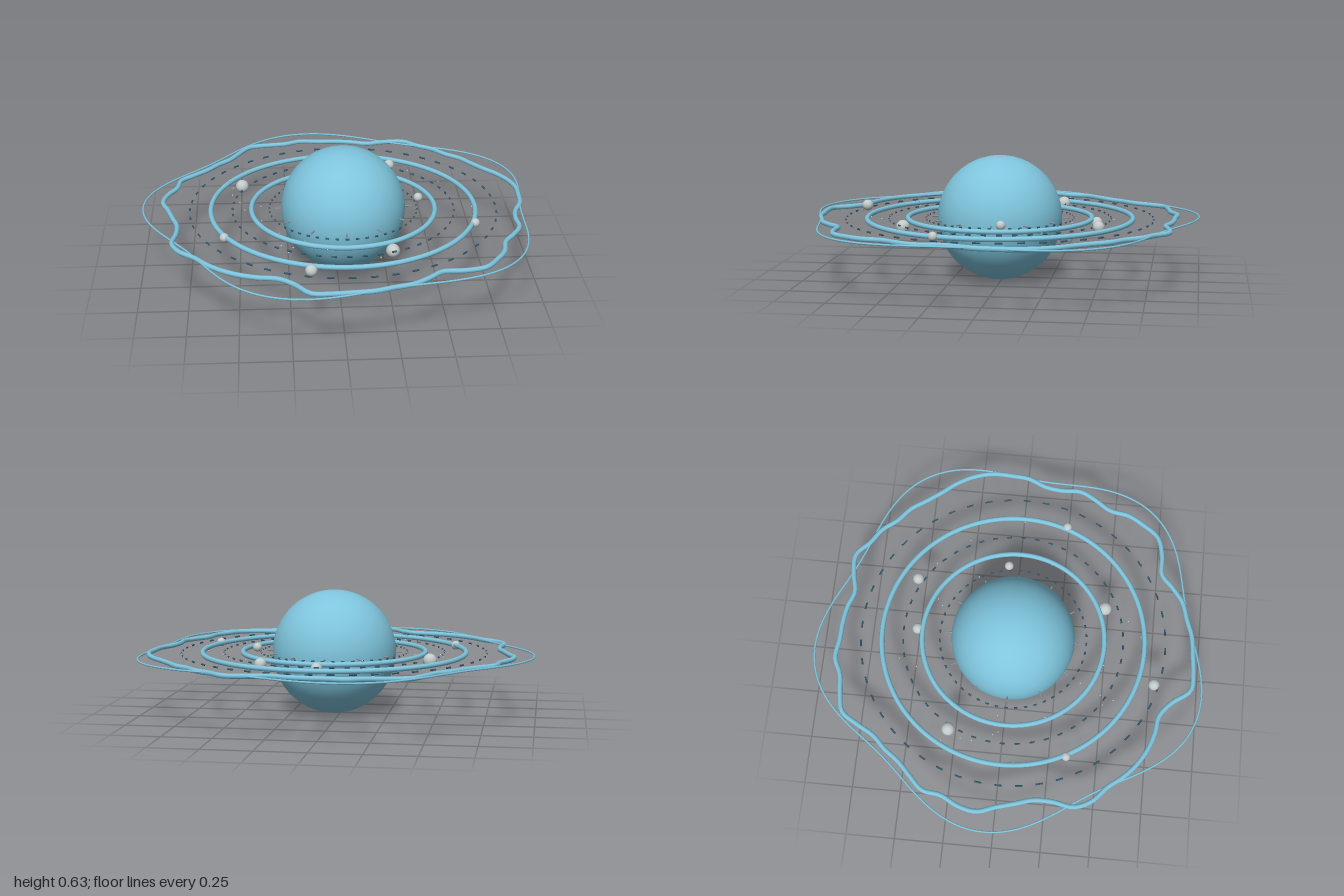
import * as THREE from 'three';

const mat = (name, color) => new THREE.MeshStandardMaterial({ name, color });

// Closed curve in the ring plane from radius as a function of turn (0..1)
class PolarCurve extends THREE.Curve {
  constructor(radiusAt) {
    super();
    this.radiusAt = radiusAt;
  }
  getPoint(t, target = new THREE.Vector3()) {
    const a = t * Math.PI * 2, r = this.radiusAt(t);
    return target.set(Math.cos(a) * r, 0, -Math.sin(a) * r);
  }
}

export function createModel() {
  const blue = mat('pale blue', 0x7ec4dc);
  const navy = mat('dark blue', 0x34586c);
  const grey = mat('light grey', 0xc2caca);
  const dark = mat('mid grey', 0x8c9294);

  const model = new THREE.Group();
  model.name = 'ringedPlanet';
  const system = new THREE.Group();
  system.name = 'planetSystem';
  system.position.set(0.034, 0.322, 0.013);
  model.add(system);

  const add = (name, geometry, material, parent = system) => {
    const mesh = new THREE.Mesh(geometry, material);
    mesh.name = name;
    parent.add(mesh);
    return mesh;
  };
  const group = (name) => {
    const g = new THREE.Group();
    g.name = name;
    system.add(g);
    return g;
  };

  // Planet
  add('planet', new THREE.SphereGeometry(0.3175, 64, 40), blue);

  // Two plain rings
  for (const [name, radius] of [['innerRing', 0.47], ['middleRing', 0.677]]) {
    add(name, new THREE.TorusGeometry(radius, 0.0125, 12, 128).rotateX(Math.PI / 2), blue);
  }

  // Irregular wavy ring: radii in thousandths, one every 6 degrees
  const radii = [
    915, 930, 947, 947, 934, 913, 907, 913, 905, 924, 926, 950, 910, 865, 878,
    886, 894, 919, 907, 929, 952, 913, 877, 876, 873, 894, 923, 905, 926, 931,
    894, 873, 861, 884, 939, 944, 918, 918, 913, 899, 876, 849, 878, 947, 939,
    926, 921, 905, 902, 878, 856, 910, 952, 942, 926, 889, 900, 910, 882, 881,
  ];
  const points = radii.map((r, i) => {
    const a = (i / radii.length) * Math.PI * 2;
    return new THREE.Vector3(Math.cos(a) * r, 0, -Math.sin(a) * r).multiplyScalar(0.001);
  });
  const wavy = new THREE.CatmullRomCurve3(points, true);
  add('wavyRing', new THREE.TubeGeometry(wavy, 240, 0.0125, 10, true), blue);

  // Thin five-lobed outer ring
  const lobed = new PolarCurve((t) => 0.968 + 0.058 * Math.cos(5 * (t * Math.PI * 2 - 0.55)));
  add('outerRing', new THREE.TubeGeometry(lobed, 240, 0.005, 8, true), blue);

  // Dashed orbits
  const dashCount = 48;
  [['innerOrbit', 0.378], ['middleOrbit', 0.567], ['outerOrbit', 0.784]].forEach(([name, radius]) => {
    const orbit = group(name);
    const arc = (Math.PI * 2 / dashCount) * 0.36;
    const dash = new THREE.TorusGeometry(radius, 0.0045, 6, 3, arc)
      .rotateZ(-arc / 2).rotateX(Math.PI / 2);
    for (let i = 0; i < dashCount; i++) {
      add('dash', dash, navy, orbit).rotation.y = (i / dashCount) * Math.PI * 2;
    }
  });

  // Short studs around the equator
  const studs = group('equatorStuds');
  const stud = new THREE.CylinderGeometry(0.004, 0.004, 0.045, 8)
    .rotateZ(Math.PI / 2).translate(0.3275, 0, 0);
  for (let i = 0; i < 12; i++) {
    add('stud', stud, dark, studs).rotation.y = (i * Math.PI) / 6;
  }

  // Moons: x, y, z and radius in model space
  const moons = group('moons');
  [
    [0.045, 0.307, -0.484, 0.028],
    [0.315, 0.327, -0.511, 0.029],
    [-0.484, 0.326, -0.267, 0.034],
    [0.426, 0.342, -0.045, 0.023],
    [0.685, 0.325, 0.241, 0.023],
    [0.251, 0.297, 0.474, 0.034],
    [-0.156, 0.342, 0.749, 0.029],
    [-0.569, 0.32, 0.336, 0.023],
  ].forEach(([x, y, z, r]) => {
    add('moon', new THREE.SphereGeometry(r, 24, 16), grey, moons)
      .position.set(x, y, z).sub(system.position);
  });

  // Tiny dust specks scattered close to the ring plane
  let seed = 7;
  const random = () => (seed = (seed * 16807) % 2147483647) / 2147483647;
  const dust = group('dust');
  const speck = new THREE.SphereGeometry(0.004, 8, 6);
  for (let i = 0; i < 24; i++) {
    const a = random() * Math.PI * 2, r = 0.37 + random() * 0.32;
    add('speck', speck, grey, dust)
      .position.set(Math.cos(a) * r, (random() - 0.5) * 0.06, Math.sin(a) * r);
  }

  return model;
}
